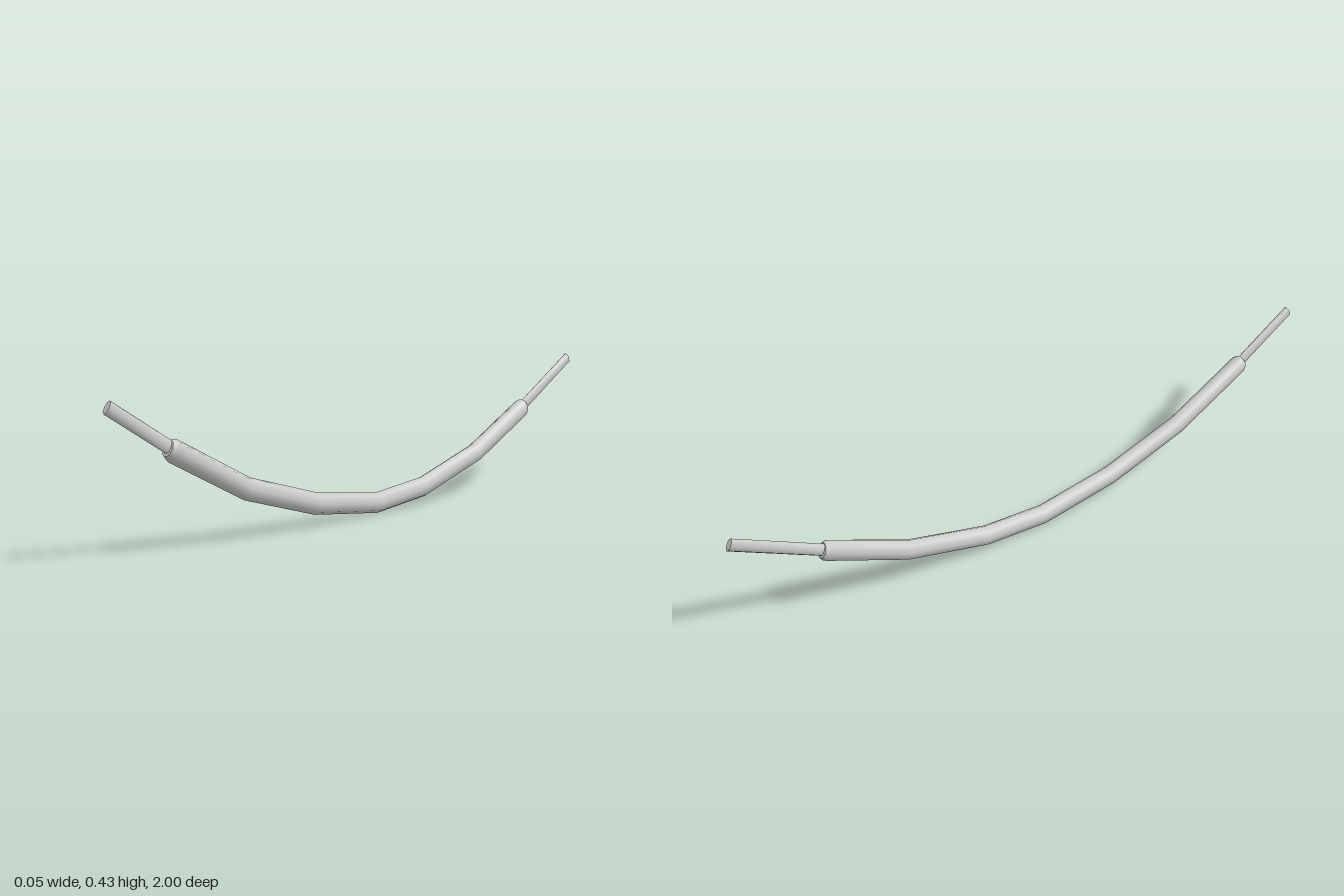
import * as THREE from 'three';

const SIDES = 8;
const material = new THREE.MeshStandardMaterial({ color: 0xcccccc });

// Sweeps an oval eight-sided section along [z, y, scale] points running back to front.
function sweep(name, path, rx, ry) {
  const pos = [], index = [];
  const at = (i) => path[Math.max(0, Math.min(path.length - 1, i))];
  const addRing = (i) => {
    const [z, y, s = 1] = at(i);
    const dir = (p, q) => new THREE.Vector2(q[0] - p[0], q[1] - p[1]).normalize();
    const t = dir(at(i - 1), at(i)).add(dir(at(i), at(i + 1))).normalize();
    for (let j = 0; j < SIDES; j++) {
      const a = (j / SIDES) * Math.PI * 2, h = ry * s * Math.sin(a);
      pos.push(rx * s * Math.cos(a), y + t.x * h, z - t.y * h);
    }
  };
  // Side wall
  path.forEach((_, i) => addRing(i));
  for (let i = 0; i < path.length - 1; i++) {
    for (let j = 0; j < SIDES; j++) {
      const k = (j + 1) % SIDES, a = i * SIDES, b = a + SIDES;
      index.push(a + j, a + k, b + k, a + j, b + k, b + j);
    }
  }
  // Flat end caps with their own vertices
  for (const i of [0, path.length - 1]) {
    const base = pos.length / 3;
    addRing(i);
    for (let j = 1; j < SIDES - 1; j++) {
      if (i) index.push(base, base + j, base + j + 1);
      else index.push(base, base + j + 1, base + j);
    }
  }
  const geo = new THREE.BufferGeometry();
  geo.setAttribute('position', new THREE.Float32BufferAttribute(pos, 3));
  geo.setIndex(index);
  geo.computeVertexNormals();
  const mesh = new THREE.Mesh(geo, material);
  mesh.name = name;
  return mesh;
}

export function createModel() {
  const group = new THREE.Group();
  group.name = 'cable';
  // Sagging outer sleeve with slightly bevelled ends
  group.add(sweep('sleeve', [
    [-0.735, 0.26, 0.75], [-0.722, 0.254], [-0.472, 0.132], [-0.204, 0.055], [0.005, 0.036],
    [0.266, 0.07], [0.533, 0.15], [0.788, 0.284], [0.802, 0.291, 0.75],
  ], 0.025, 0.032));
  // Thin cores sticking out of both ends
  group.add(sweep('backCore', [[-0.989, 0.405], [-0.7, 0.243]], 0.01, 0.019));
  group.add(sweep('frontCore', [[0.76, 0.27], [0.989, 0.413]], 0.01, 0.019));
  return group;
}
